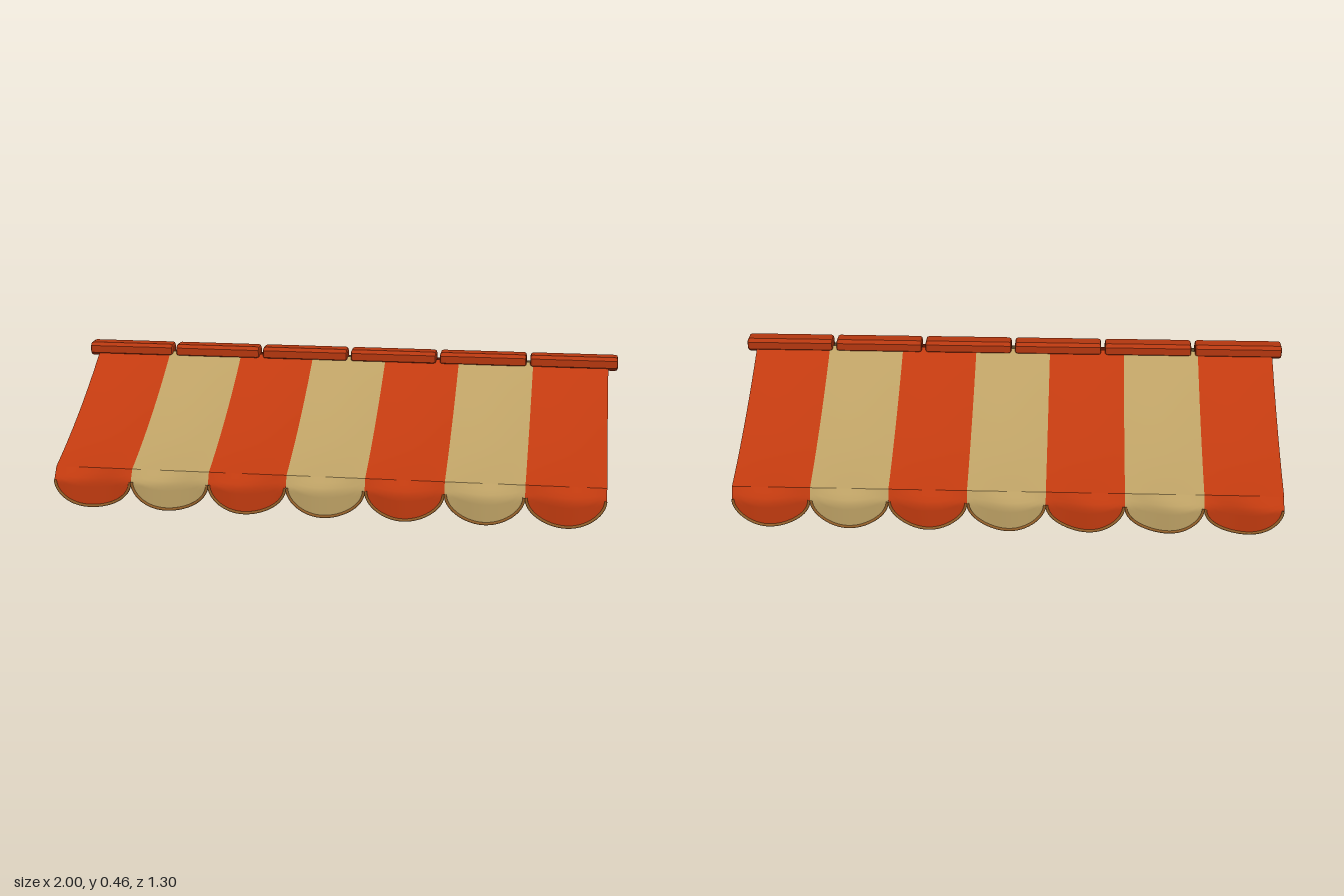
import * as THREE from 'three';

const red = new THREE.MeshStandardMaterial({ color: 0xc03a0f, side: THREE.DoubleSide });
red.name = 'red canvas';
const tan = new THREE.MeshStandardMaterial({ color: 0xbca064, side: THREE.DoubleSide });
tan.name = 'tan canvas';
const wood = new THREE.MeshStandardMaterial({ color: 0xb5370f });
wood.name = 'ridge red';
const hem = new THREE.MeshStandardMaterial({ color: 0x94602a });
hem.name = 'hem brown';

const STRIPES = 7, HALF = 0.965, W = (2 * HALF) / STRIPES;
const EAVE_Y = 0.14, EAVE_Z = 0.612;

// Smooth sheet from a rule f(u, v) -> [x, y, z], u and v in 0..1
function sheet(nu, nv, flip, f) {
  const pos = [], idx = [];
  for (let j = 0; j <= nv; j++)
    for (let i = 0; i <= nu; i++) pos.push(...f(i / nu, j / nv));
  for (let j = 0; j < nv; j++)
    for (let i = 0; i < nu; i++) {
      const a = j * (nu + 1) + i, b = a + 1, c = a + nu + 1, d = c + 1;
      if (flip) idx.push(a, b, c, b, d, c);
      else idx.push(a, c, b, b, c, d);
    }
  const g = new THREE.BufferGeometry();
  g.setAttribute('position', new THREE.Float32BufferAttribute(pos, 3));
  g.setIndex(idx);
  g.computeVertexNormals();
  return g;
}

// Hanging cloth swings in and out in a gentle wave below the eave
function valanceZ(x, y) {
  const drop = Math.min(1, (EAVE_Y - y) / 0.04);
  return EAVE_Z + drop * (0.024 + 0.009 * Math.cos((2 * Math.PI * (x + 0.03)) / 0.295));
}

// Scalloped lower edge; k runs -1..1 across one stripe
const scallopY = (k) => 0.1 - 0.094 * Math.pow(Math.max(0, 1 - k * k), 0.52);

function createModel() {
  const model = new THREE.Group();
  model.name = 'stripedCanopy';
  const add = (parent, geo, mat, name) => {
    const m = new THREE.Mesh(geo, mat);
    m.name = name;
    parent.add(m);
    return m;
  };

  for (const s of [1, -1]) {
    const slope = new THREE.Group();
    slope.name = s > 0 ? 'frontSlope' : 'backSlope';
    model.add(slope);
    for (let n = 0; n < STRIPES; n++) {
      const cx = -HALF + (n + 0.5) * W;
      const mat = n % 2 ? tan : red;

      // Sagging roof panel
      add(slope, sheet(8, 14, s < 0, (u, v) => {
        const x = cx + (u - 0.5) * W;
        const sag = 0.02 + 0.011 * Math.sin(Math.PI * u);
        return [x, 0.432 + (EAVE_Y - 0.432) * v - sag * 4 * v * (1 - v),
          s * (0.015 + (EAVE_Z - 0.015) * v)];
      }), mat, 'roofPanel');

      // Scalloped valance
      add(slope, sheet(24, 8, s < 0, (u, v) => {
        const k = Math.sin((u - 0.5) * Math.PI);
        const x = cx + (k * W) / 2;
        const y = EAVE_Y + (scallopY(k) - EAVE_Y) * v;
        return [x, y, s * valanceZ(x, y)];
      }), mat, 'valance');

      // Hem cord along the scallop
      const pts = [];
      for (let i = 0; i <= 20; i++) {
        const k = Math.sin((i / 20 - 0.5) * Math.PI);
        const x = cx + k * (W / 2 - 0.003), y = scallopY(k);
        pts.push(new THREE.Vector3(x, y, s * valanceZ(x, y)));
      }
      add(slope, new THREE.TubeGeometry(new THREE.CatmullRomCurve3(pts), 40, 0.0055, 6),
        hem, 'hemCord');
    }
  }

  // Ridge caps: chamfered beams laid end to end
  const CAPS = 6, GAP = 0.014, LEN = (2 - GAP * (CAPS - 1)) / CAPS;
  const b = 0.01, hw = 0.036 - b, hh = 0.025 - b, c = 0.006;
  const section = new THREE.Shape([
    [-hw + c, -hh], [hw - c, -hh], [hw, -hh + c], [hw, hh - c],
    [hw - c, hh], [-hw + c, hh], [-hw, hh - c], [-hw, -hh + c],
  ].map(([x, y]) => new THREE.Vector2(x, y)));
  const cap = new THREE.ExtrudeGeometry(section, {
    depth: LEN - 2 * b, bevelEnabled: true, bevelSize: b, bevelThickness: b, bevelSegments: 2,
  });
  cap.translate(0, 0, -(LEN - 2 * b) / 2);
  cap.rotateY(Math.PI / 2);
  const ridge = new THREE.Group();
  ridge.name = 'ridge';
  model.add(ridge);
  for (let i = 0; i < CAPS; i++)
    add(ridge, cap, wood, 'ridgeCap').position.set(-1 + LEN / 2 + i * (LEN + GAP), 0.436, 0);

  return model;
}

export { createModel };
